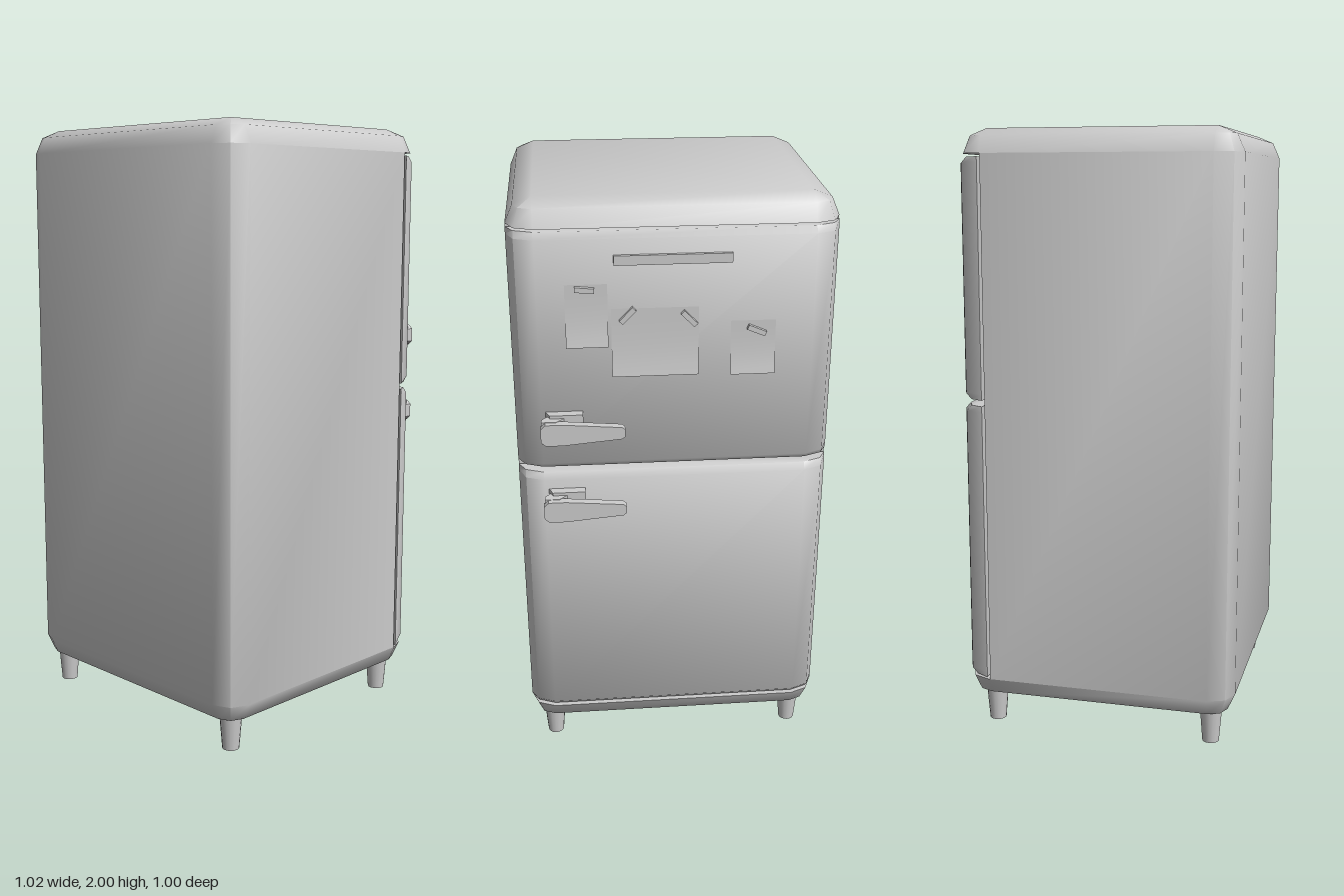
import * as THREE from 'three';
import { toCreasedNormals } from 'three/addons/utils/BufferGeometryUtils.js';

const HALF_W = 0.51, FRONT = 0.5, R = 0.083;

// Rounded-rectangle section at height y; corners have two facets each.
// keep() can clamp z so a section is cut off flat.
function ring(y, inset, back, keep = z => z) {
  const r = R - inset, points = [];
  const cx = HALF_W - R, zf = FRONT - R, zb = back + R;
  const corners = [[cx, zf], [-cx, zf], [-cx, zb], [cx, zb]];
  corners.forEach(([x, z], q) => {
    for (let k = 0; k < 3; k++) {
      const a = (q + k / 2) * Math.PI / 2;
      points.push(new THREE.Vector3(x + r * Math.cos(a), y, keep(z + r * Math.sin(a))));
    }
  });
  return points;
}

// Skin a stack of sections, with flat caps at both ends.
function loft(rings) {
  const n = rings[0].length, pos = [];
  const tri = (...p) => p.forEach(v => pos.push(v.x, v.y, v.z));
  for (let j = 0; j + 1 < rings.length; j++) {
    for (let i = 0; i < n; i++) {
      const k = (i + 1) % n, a = rings[j], b = rings[j + 1];
      tri(a[i], b[i], a[k]);
      tri(a[k], b[i], b[k]);
    }
  }
  const low = rings[0], high = rings[rings.length - 1];
  for (let i = 1; i + 1 < n; i++) {
    tri(low[0], low[i], low[i + 1]);
    tri(high[0], high[i + 1], high[i]);
  }
  const geo = new THREE.BufferGeometry();
  geo.setAttribute('position', new THREE.Float32BufferAttribute(pos, 3));
  return toCreasedNormals(geo, 0.85);
}

function extrude(points, depth) {
  const shape = new THREE.Shape(points.map(p => new THREE.Vector2(...p)));
  return new THREE.ExtrudeGeometry(shape, { depth, bevelEnabled: false }).translate(0, 0, -depth / 2);
}

export function createModel() {
  const model = new THREE.Group();
  model.name = 'refrigerator';
  const grey = new THREE.MeshStandardMaterial({ color: 0xcccccc });
  const paper = new THREE.MeshStandardMaterial({ color: 0xcccccc, side: THREE.DoubleSide });
  const add = (name, geo, parent = model, mat = grey) => {
    const mesh = new THREE.Mesh(geo, mat);
    mesh.name = name;
    parent.add(mesh);
    return mesh;
  };

  // Cabinet: rounded box with a recess for the doors
  const back = -0.415, mid = R * (1 - Math.SQRT1_2);
  const cut = z => Math.max(z, -0.328);
  add('cabinet', loft([
    ring(0.09, R, back), ring(0.09 + mid, mid, back), ring(0.168, 0, back),
    ring(0.168, 0, back, cut), ring(1.92, 0, back, cut),
    ring(1.92, 0, back), ring(2 - mid, mid, back), ring(2, R, back),
  ]));

  // Doors: slabs with rounded uprights and slim chamfers at top and bottom
  const slab = z => Math.min(z, -0.338);
  const door = (name, y0, y1) => add(name, loft([
    ring(y0, 0, -0.406, slab), ring(y0 + 0.02, 0, -0.424, slab),
    ring(y1 - 0.02, 0, -0.424, slab), ring(y1, 0, -0.406, slab),
  ]));
  door('freezerDoor', 1.13, 1.91);
  door('fridgeDoor', 0.175, 1.11);

  // Tapered feet
  for (const x of [-0.43, 0.43]) for (const z of [-0.33, 0.42]) {
    add('foot', new THREE.CylinderGeometry(0.037, 0.028, 0.11, 16)).position.set(x, 0.055, z);
  }

  // Handles: base plate, bent stem and tapered grip
  for (const [name, y] of [['freezerHandle', 1.285], ['fridgeHandle', 1.01]]) {
    const handle = new THREE.Group();
    handle.name = name;
    handle.position.y = y;
    model.add(handle);
    add('handleBase', extrude([[0.295, -0.42], [0.295, -0.455], [0.4, -0.455], [0.415, -0.42]], 0.095)
      .rotateX(Math.PI / 2), handle);
    add('handleStem', extrude([[0.35, -0.45], [0.38, -0.48], [0.427, -0.48], [0.427, -0.46], [0.405, -0.435]], 0.075)
      .rotateX(Math.PI / 2), handle);
    add('handleGrip', extrude([[0.165, -0.012], [0.175, -0.02], [0.36, -0.036], [0.415, -0.036], [0.43, -0.022],
      [0.43, 0.022], [0.415, 0.036], [0.36, 0.036], [0.175, 0.02], [0.165, 0.012]], 0.027), handle)
      .position.z = -0.4865;
  }

  // Plain trim bar across the top of the upper door
  add('trimBar', new THREE.BoxGeometry(0.36, 0.03, 0.016)).position.set(0.01, 1.825, -0.428);

  // Paper notes, curling away from the door at the lower edge
  const notes = [[0.21, 0.34, 1.55, 1.75], [-0.07, 0.2, 1.45, 1.67], [-0.31, -0.17, 1.445, 1.62]];
  for (const [x0, x1, y0, y1] of notes) {
    const geo = new THREE.PlaneGeometry(x1 - x0, y1 - y0, 1, 6).rotateY(Math.PI);
    const p = geo.attributes.position;
    for (let i = 0; i < p.count; i++) {
      const t = 0.5 - p.getY(i) / (y1 - y0);
      p.setZ(i, -0.425 - 0.012 * t ** 3);
    }
    geo.computeVertexNormals();
    add('note', geo, model, paper).position.set((x0 + x1) / 2, (y0 + y1) / 2, 0);
  }

  // Small bar magnets: x, y, tilt
  for (const [x, y, tilt] of [[0.28, 1.735, 0.1], [0.15, 1.65, -0.8], [-0.04, 1.635, 0.8], [-0.25, 1.59, 0.4]]) {
    const magnet = add('magnet', new THREE.BoxGeometry(0.06, 0.016, 0.018));
    magnet.position.set(x, y, -0.43);
    magnet.rotation.z = tilt;
  }
  return model;
}
